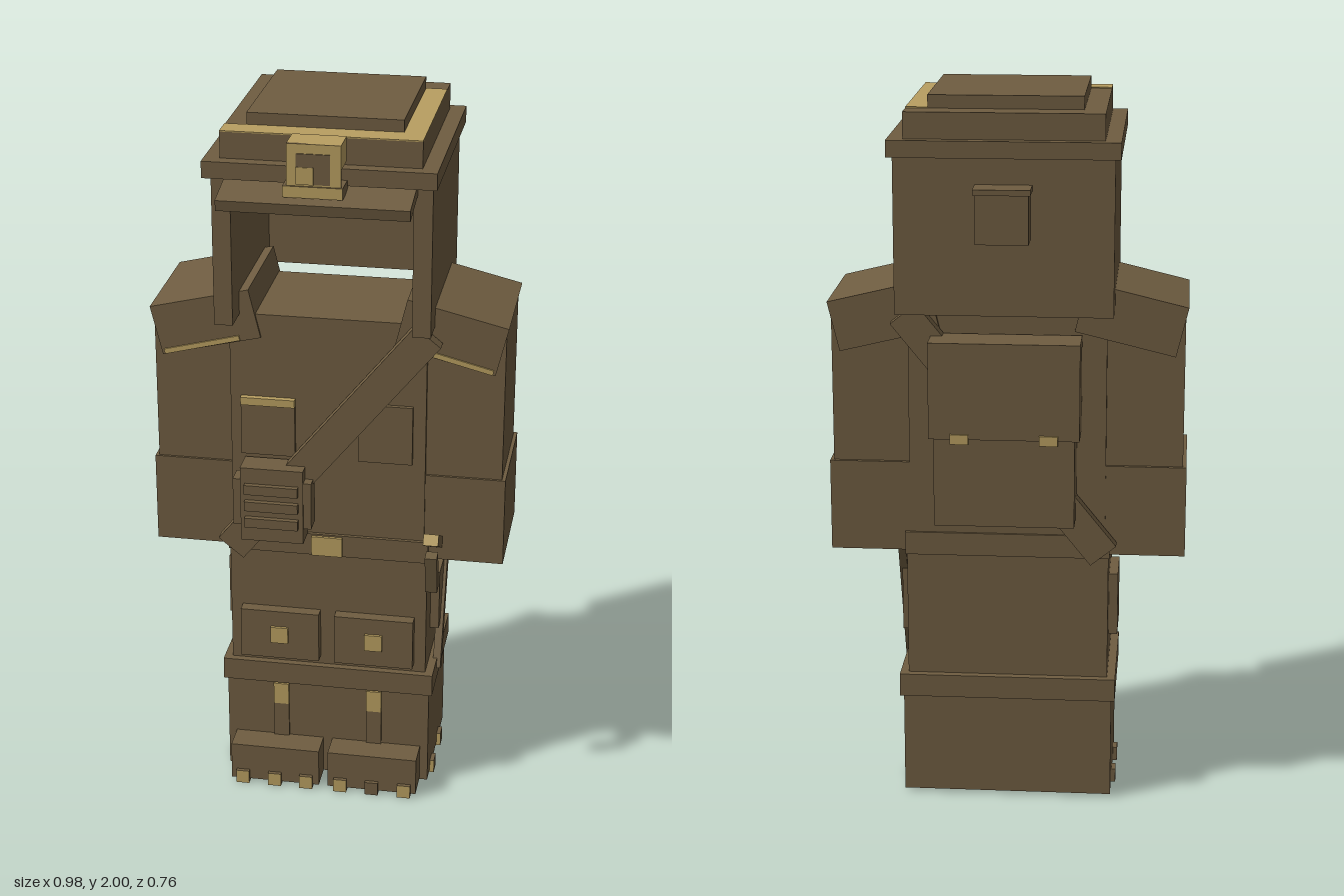
import * as THREE from 'three';

const brown = new THREE.MeshStandardMaterial({ color: 0x6f5d41 });
brown.name = 'brown canvas';
const gold = new THREE.MeshStandardMaterial({ color: 0xb99f61 });
gold.name = 'brass';

// Face order: +x, -x, +y, -y, +z, -z
const goldFront = [brown, brown, brown, brown, gold, brown];

export function createModel() {
  const model = new THREE.Group();
  model.name = 'figure';

  // Box given by its extents on each axis
  const box = (name, x0, x1, y0, y1, z0, z1, mat = brown) => {
    const m = new THREE.Mesh(new THREE.BoxGeometry(x1 - x0, y1 - y0, z1 - z0), mat);
    m.position.set((x0 + x1) / 2, (y0 + y1) / 2, (z0 + z1) / 2);
    m.name = name;
    model.add(m);
    return m;
  };
  // Box given by centre and size, with a rotation
  const tilted = (name, c, s, rx, rz, mat = brown) => {
    const m = new THREE.Mesh(new THREE.BoxGeometry(...s), mat);
    m.position.set(...c);
    m.rotation.set(rx, 0, rz);
    m.name = name;
    model.add(m);
    return m;
  };

  // Hollow hood, open at the front and below
  box('hoodBack', -0.29, 0.29, 1.43, 1.86, -0.3, -0.25);
  box('hoodSideRight', -0.29, -0.24, 1.43, 1.86, -0.25, 0.247);
  box('hoodSideLeft', 0.24, 0.29, 1.43, 1.86, -0.25, 0.247);
  box('hoodRearBox', -0.07, 0.07, 1.635, 1.765, -0.37, -0.3);
  box('hoodRearBoxLid', -0.075, 0.075, 1.765, 1.78, -0.378, -0.3);

  // Hat
  box('hatBrim', -0.305, 0.305, 1.85, 1.895, -0.317, 0.29);
  box('hatCrown', -0.263, 0.263, 1.895, 1.965, -0.29, 0.255);
  box('hatTop', -0.205, 0.205, 1.965, 2, -0.22, 0.19);
  box('hatTrimFront', -0.263, 0.263, 1.965, 1.968, 0.19, 0.255, gold);
  box('hatTrimSide', 0.205, 0.263, 1.965, 1.968, -0.22, 0.19, gold);
  tilted('hatVisor', [0, 1.822, 0.312], [0.5, 0.03, 0.135], 0.2, 0);

  // Hat lamp
  box('lampBase', -0.08, 0.075, 1.835, 1.865, 0.27, 0.36, goldFront);
  box('lampNeck', -0.06, 0.06, 1.865, 1.91, 0.27, 0.345, goldFront);
  box('lampHousing', -0.07, 0.07, 1.91, 1.975, 0.27, 0.352, gold);
  box('lampFrame', -0.07, 0.07, 1.862, 1.975, 0.345, 0.354, goldFront);
  box('lampLens', -0.045, 0.042, 1.87, 1.95, 0.354, 0.357);
  box('lampGlint', -0.045, 0, 1.87, 1.915, 0.357, 0.359, gold);

  // Torso and belt
  box('torso', -0.27, 0.27, 0.78, 1.43, -0.178, 0.155);
  box('belt', -0.283, 0.283, 0.72, 0.785, -0.185, 0.165);
  box('beltBuckle', -0.045, 0.042, 0.722, 0.78, 0.165, 0.173, gold);
  box('chestPocketRight', -0.24, -0.09, 1.02, 1.168, 0.155, 0.167);
  box('chestPocketFlap', -0.24, -0.09, 1.168, 1.19, 0.155, 0.172, gold);
  box('chestPocketLeft', 0.085, 0.235, 1.02, 1.19, 0.155, 0.167);

  // Sleeves, cuffs and sloping shoulder pads
  for (const s of [-1, 1]) {
    const side = (name, x0, x1, ...r) => box(name, Math.min(s * x0, s * x1), Math.max(s * x0, s * x1), ...r);
    side('sleeve', 0.268, 0.48, 0.985, 1.42, -0.165, 0.143);
    side('cuff', 0.268, 0.49, 0.73, 0.985, -0.175, 0.15);
    tilted('shoulderPad', [s * 0.335, 1.4, -0.013], [0.28, 0.14, 0.35], 0, -s * 0.237);
    tilted('shoulderTrim', [s * 0.345, 1.335, 0.163], [0.215, 0.014, 0.008], 0, -s * 0.25, gold);

    // Leg and boot details
    side('sidePocket', 0.28, 0.305, 0.46, 0.64, -0.085, 0.063);
    side('thighPocket', 0.022, 0.247, 0.39, 0.54, 0.155, 0.188);
    side('thighButton', 0.11, 0.16, 0.442, 0.492, 0.188, 0.196, gold);
    side('bootStrap', 0.113, 0.157, 0.12, 0.23, 0.165, 0.172);
    side('bootBuckle', 0.113, 0.157, 0.23, 0.296, 0.165, 0.175, gold);
    side('bootToe', 0.013, 0.27, 0.01, 0.122, 0.16, 0.245);
    for (const x of [0.05, 0.142, 0.236])
      side('frontCleat', x - 0.019, x + 0.019, 0, 0.04, 0.215, 0.256, s * x === 0.142 ? brown : goldFront);
    for (const z of [0.088, -0.06])
      side('sideCleat', 0.27, 0.305, 0, 0.04, z - 0.02, z + 0.02, goldFront);
  }

  // Legs and boots
  box('legs', -0.28, 0.28, 0.36, 0.725, -0.175, 0.155);
  box('bootCollar', -0.303, 0.303, 0.3, 0.365, -0.197, 0.175);
  box('boots', -0.293, 0.293, 0.01, 0.3, -0.185, 0.165);

  // Shoulder strap, front and back
  for (const z of [0.185, -0.205])
    tilted('crossStrap', [0.005, 1.078, z], [0.865, 0.09, 0.038], 0, 0.89);

  // Radio on the strap
  box('radio', -0.23, -0.055, 0.79, 1.01, 0.165, 0.24);
  box('radioBand', -0.252, -0.033, 0.835, 0.973, 0.18, 0.235);
  for (const y of [0.85, 0.9, 0.95])
    box('radioRidge', -0.217, -0.068, y - 0.014, y + 0.014, 0.24, 0.255);

  // Tool hanging from the belt
  tilted('toolArm', [0.3, 0.81, 0.197], [0.042, 0.032, 0.105], -0.5, 0, goldFront);
  tilted('toolHandle', [0.303, 0.732, 0.234], [0.033, 0.12, 0.032], 0.22, 0);
  tilted('sheath', [0.303, 0.523, -0.01], [0.022, 0.41, 0.034], -0.38, 0);
  tilted('sheathLoop', [0.295, 0.712, -0.035], [0.022, 0.018, 0.12], -0.2, 0);

  // Backpack
  box('backpack', -0.19, 0.19, 0.845, 1.25, -0.298, -0.178);
  box('backpackFlap', -0.203, 0.203, 1.09, 1.355, -0.303, -0.19);
  for (const x of [-0.12, 0.12])
    box('backpackClasp', x - 0.025, x + 0.025, 1.078, 1.105, -0.31, -0.3, gold);

  return model;
}
